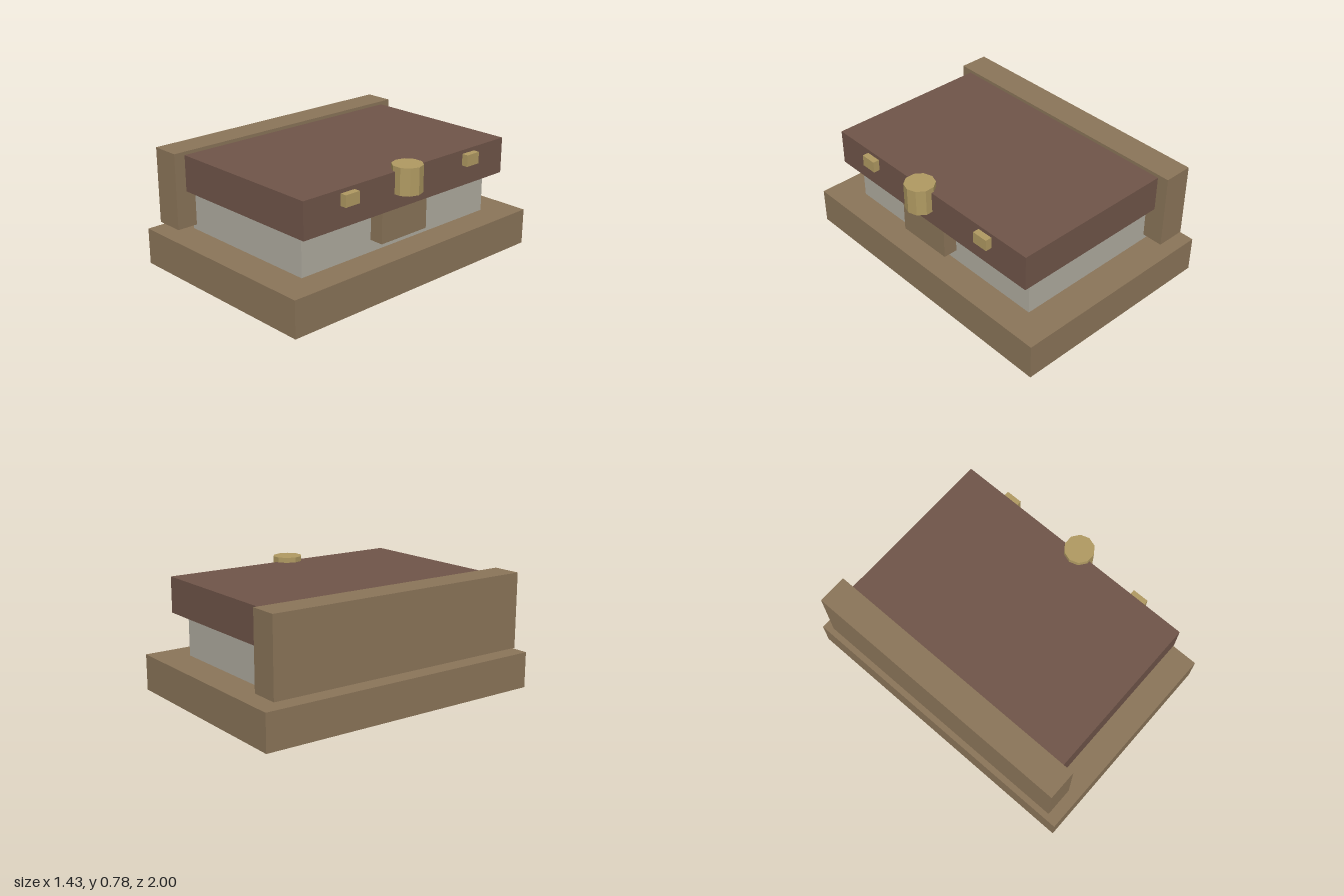
import * as THREE from 'three';

const material = (name, color) => {
  const m = new THREE.MeshStandardMaterial({ color });
  m.name = name;
  return m;
};

export function createModel() {
  const wood = material('tan wood', 0x8b7559);
  const leather = material('dark leather', 0x705549);
  const paper = material('grey paper', 0xb0aca0);
  const brass = material('brass', 0xb09a62);
  const model = new THREE.Group();
  model.name = 'closedBook';

  const add = (name, geometry, mat) => {
    const mesh = new THREE.Mesh(geometry, mat);
    mesh.name = name;
    model.add(mesh);
    return mesh;
  };

  // Box given by its limits along each axis
  const box = (name, mat, [x0, x1], [y0, y1], [z0, z1]) => {
    const mesh = add(name, new THREE.BoxGeometry(x1 - x0, y1 - y0, z1 - z0), mat);
    mesh.position.set((x0 + x1) / 2, (y0 + y1) / 2, (z0 + z1) / 2);
    return mesh;
  };

  // Lower board, page block, upper cover and spine
  box('base', wood, [-0.715, 0.7], [0, 0.237], [-1, 1]);
  box('pages', paper, [-0.525, 0.51], [0.237, 0.51], [-0.785, 0.785]);
  box('cover', leather, [-0.5, 0.605], [0.51, 0.745], [-0.85, 0.85]);
  box('spine', wood, [-0.683, -0.49], [0.272, 0.767], [-0.925, 0.925]);

  // Strap hanging below the cover's free edge
  box('strap', wood, [0.51, 0.604], [0.315, 0.511], [-0.145, 0.237]);

  // Ten-sided knob with a corner pointing along x
  const knob = add('knob', new THREE.CylinderGeometry(0.097, 0.097, 0.173, 10).toNonIndexed(), brass);
  knob.geometry.computeVertexNormals();
  knob.rotation.y = Math.PI / 2;
  knob.position.set(0.617, 0.692, 0.045);

  // Small studs on either side of the knob
  for (const z of [-0.517, 0.517]) {
    box('stud', brass, [0.6, 0.647], [0.645, 0.72], [z - 0.054, z + 0.054]);
  }

  return model;
}
